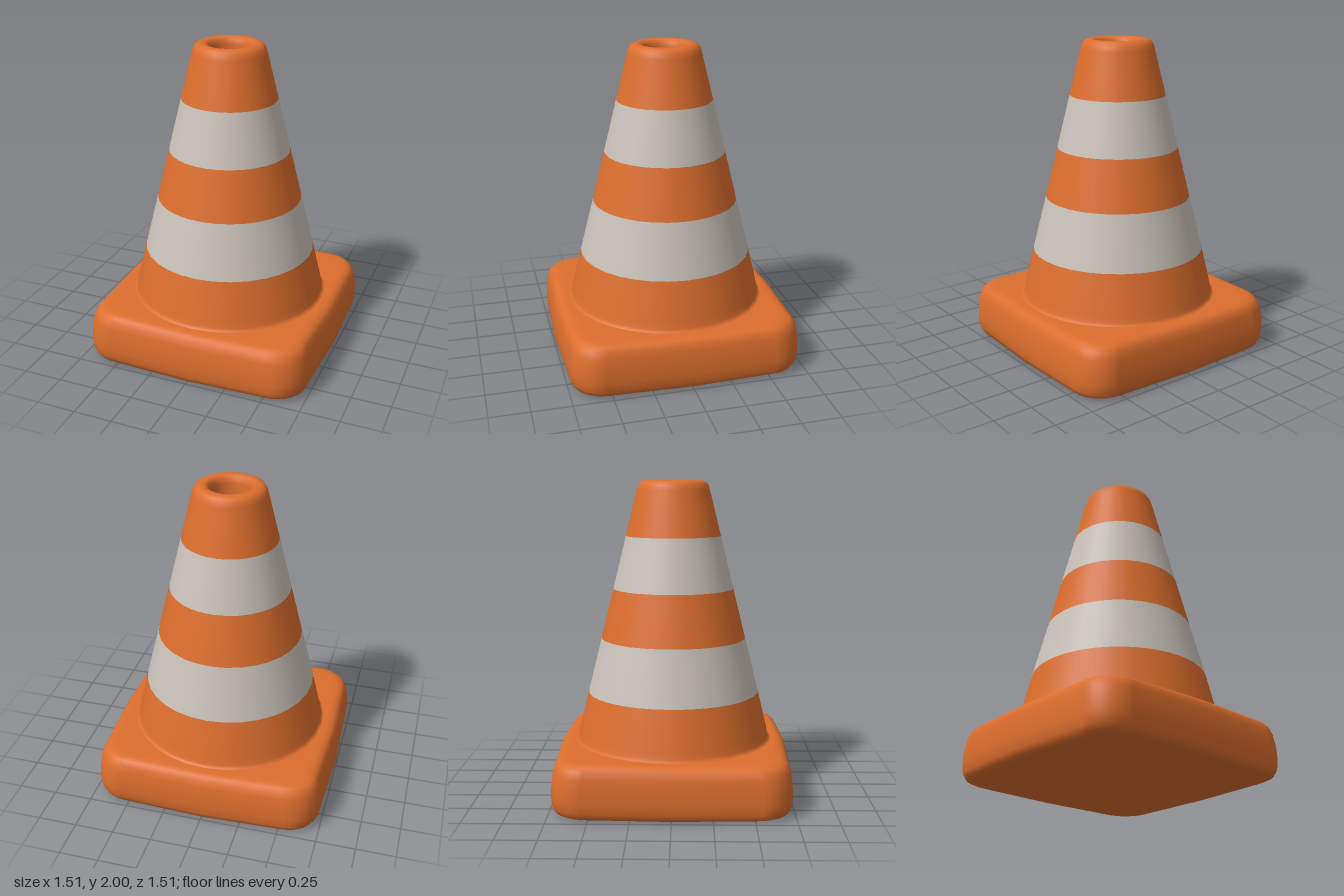
import * as THREE from 'three';

const orange = new THREE.MeshStandardMaterial({ color: 0xdc6e2e });
orange.name = 'safety orange';
const grey = new THREE.MeshStandardMaterial({ color: 0xcac2ba });
grey.name = 'reflective grey';

// Rounded-square outline whose sides bow out slightly at the middle
function outline(half, radius) {
  const pts = [];
  const steps = 8;
  for (let k = 0; k < 4; k++) {
    const turn = k * Math.PI / 2;
    const c = half - radius;
    const local = [[0, half + 0.02]];
    for (let i = 0; i <= steps; i++) {
      const a = (i / steps) * Math.PI / 2;
      local.push([c + radius * Math.sin(a), c + radius * Math.cos(a)]);
    }
    for (const [x, z] of local) {
      pts.push([x * Math.cos(turn) + z * Math.sin(turn), z * Math.cos(turn) - x * Math.sin(turn)]);
    }
  }
  return pts;
}

// Stacks outlines [half width, y, corner radius] and closes both ends
function loftBase(rings) {
  const pos = [];
  const index = [];
  const n = outline(1, 0.2).length;
  for (const [half, y, radius] of rings) {
    for (const [x, z] of outline(half, radius)) pos.push(x, y, z);
  }
  for (let r = 0; r < rings.length - 1; r++) {
    for (let i = 0; i < n; i++) {
      const a = r * n + i;
      const b = r * n + (i + 1) % n;
      index.push(a, b, a + n, b, b + n, a + n);
    }
  }
  const last = (rings.length - 1) * n;
  const bottom = pos.length / 3;
  pos.push(0, rings[0][1], 0, 0, rings[rings.length - 1][1], 0);
  for (let i = 0; i < n; i++) {
    const j = (i + 1) % n;
    index.push(bottom, j, i, bottom + 1, last + i, last + j);
  }
  const geo = new THREE.BufferGeometry();
  geo.setAttribute('position', new THREE.Float32BufferAttribute(pos, 3));
  geo.setIndex(index);
  geo.computeVertexNormals();
  return geo;
}

export function createModel() {
  const group = new THREE.Group();
  group.name = 'trafficCone';
  const add = (name, geo, mat) => {
    const mesh = new THREE.Mesh(geo, mat);
    mesh.name = name;
    group.add(mesh);
  };
  const lathe = (points) =>
    new THREE.LatheGeometry(points.map(([r, y]) => new THREE.Vector2(r, y)), 32);

  // Soft square foot
  add('base', loftBase([
    [0.66, 0, 0.17], [0.69, 0.002, 0.18], [0.715, 0.015, 0.19], [0.73, 0.05, 0.19],
    [0.735, 0.11, 0.19], [0.732, 0.19, 0.19], [0.722, 0.26, 0.19], [0.71, 0.3, 0.19],
    [0.69, 0.323, 0.18], [0.66, 0.334, 0.17], [0.62, 0.336, 0.16],
  ]), orange);

  // Tapered body, in alternating bands
  add('lowerBody', lathe([[0.65, 0.33], [0.63, 0.339], [0.62, 0.355], [0.614, 0.39], [0.553, 0.645]]), orange);
  add('lowerStripe', lathe([[0.553, 0.645], [0.465, 0.995]]), grey);
  add('middleBody', lathe([[0.465, 0.995], [0.386, 1.315]]), orange);
  add('upperStripe', lathe([[0.386, 1.315], [0.304, 1.65]]), grey);

  // Tip with rounded lip and a blind hole
  add('tip', lathe([
    [0.304, 1.65], [0.232, 1.94], [0.224, 1.968], [0.21, 1.988], [0.19, 1.998],
    [0.165, 2], [0.145, 1.994], [0.131, 1.978], [0.125, 1.95], [0.12, 1.84],
  ]), orange);
  add('holeFloor', lathe([[0.12, 1.84], [0, 1.84]]), orange);
  return group;
}
